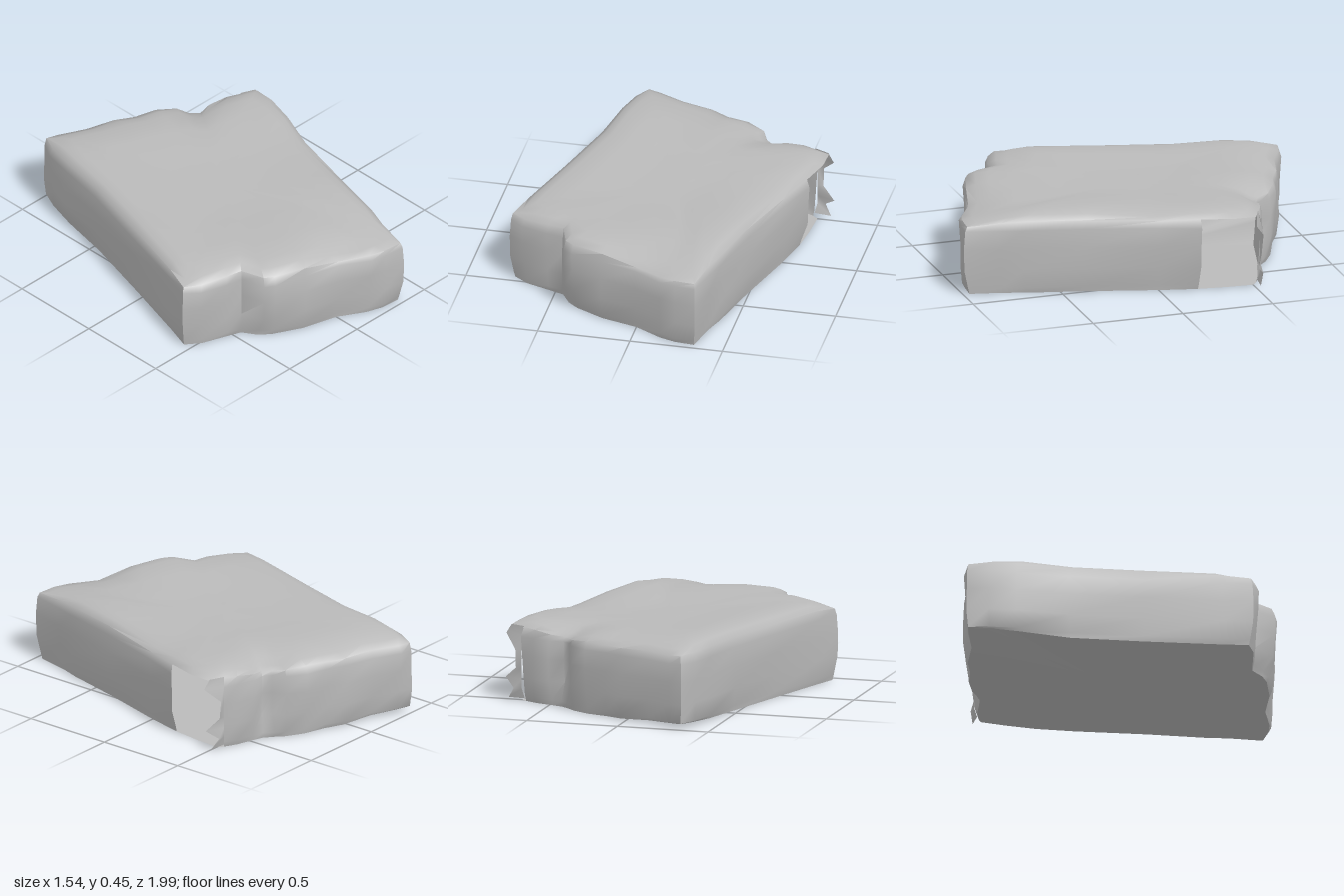
import * as THREE from 'three';
import { toCreasedNormals } from 'three/addons/utils/BufferGeometryUtils.js';

// Plan outline of the slab (x, z), clockwise from above
const outline = [
  [-.35, -1], [-.28, -.98], [-.14, -.91], [.03, -.865], [.13, -.81], [.25, -.77], [.35, -.71],
  [.38, -.64], [.42, -.6], [.5, -.61], [.6, -.58], [.67, -.545], [.755, -.505], [.75, -.385], [.7, -.21],
  [.62, 0], [.51, .38], [.43, .7], [.39, .82], [.35, 1], [.24, .99], [.15, .96], [0, .875],
  [-.2, .82], [-.37, .765], [-.42, .73], [-.46, .6], [-.55, .58], [-.69, .53], [-.77, .47],
  [-.72, .32], [-.6, -.08], [-.49, -.47], [-.44, -.75], [-.4, -.9],
];
// The underside cuts across the notches and the broken corner
const foot = {
  7: [.39, -.67], 8: [.44, -.63], 12: [.7, -.52], 13: [.69, -.37], 14: [.67, -.21],
  24: [-.36, .74], 25: [-.42, .69], 26: [-.47, .61],
};
// Wall columns left open at the broken corner
const OPEN_FROM = 11, OPEN_TO = 13, RIM = 5;

// Wall and top rings: height, scale from the centre
const rings = [
  [0, .965], [.03, .98], [.13, .995], [.25, 1], [.35, 1], [.4, .98], [.425, .92],
  [.437, .84], [.437, .65], [.43, .4], [.425, .15],
];

const bump = (x, z, cx, cz, r) => Math.exp(-((x - cx) ** 2 + (z - cz) ** 2) / (r * r));

// Gentle dents and rises of the top
function topRelief(x, z) {
  return -.055 * bump(x, z, .03, .88, .16) - .03 * bump(x, z, .24, .72, .1)
    - .04 * bump(x, z, .33, 1, .2) - .025 * bump(x, z, .55, .05, .16)
    - .03 * bump(x, z, -.72, .46, .1) - .05 * bump(x, z, .4, -.62, .13)
    - .02 * bump(x, z, -.2, -.98, .18) - .025 * bump(x, z, .12, -.84, .14)
    + .012 * bump(x, z, -.3, -.7, .2) + .01 * bump(x, z, .33, .5, .15)
    - .012 * bump(x, z, .1, .1, .4);
}

function slabGeometry() {
  const pos = [], index = [], n = outline.length;
  rings.forEach(([y, s], r) => outline.forEach((p, i) => {
    const [px, pz] = (r < 2 && foot[i]) || p;
    // Shallow chips along the walls
    const chip = r > 0 && r < RIM ? .007 * Math.sin(i * 1.9 + r * 1.3) - .005 : 0;
    const x = px * (s + chip), z = pz * (s + chip);
    // The underside lifts a little at the rear edge
    const lift = r === 0 ? .025 * bump(px, pz, -.35, -1, .35) : 0;
    const relief = r >= RIM ? topRelief(x, z) * (r === RIM ? .6 : 1) : 0;
    pos.push(x, y + lift + relief, z);
  }));
  for (let r = 0; r < rings.length - 1; r++) {
    for (let i = 0; i < n; i++) {
      if (r < RIM && i >= OPEN_FROM && i <= OPEN_TO) continue;
      const a = r * n + i, b = r * n + (i + 1) % n;
      index.push(b, a, a + n, b, a + n, b + n);
    }
  }
  // Close the top and the underside
  const top = pos.length / 3, last = (rings.length - 1) * n;
  pos.push(0, .423, 0, 0, 0, 0);
  for (let i = 0; i < n; i++) {
    const j = (i + 1) % n;
    index.push(last + j, last + i, top, i, j, top + 1);
  }
  const g = new THREE.BufferGeometry();
  g.setAttribute('position', new THREE.Float32BufferAttribute(pos, 3));
  g.setIndex(index);
  return toCreasedNormals(g, .95);
}

// Rear wall running on to a torn, toothed edge: height, tooth x, tooth z
function tornEdgeGeometry() {
  const rows = [
    [.015, .745, -.52], [.07, .71, -.545], [.12, .767, -.5], [.18, .7, -.54], [.28, .7, -.55],
    [.355, .767, -.49], [.405, .735, -.5],
  ];
  const pos = [], index = [];
  rows.forEach(([y, x, z], r) => {
    const s = r === 0 ? .975 : r === rows.length - 1 ? .98 : .995;
    pos.push(.67 * s, y, -.545 * s, x, y, z);
    if (r) {
      const b = r * 2;
      index.push(b - 1, b - 2, b, b - 1, b, b + 1);
    }
  });
  const g = new THREE.BufferGeometry();
  g.setAttribute('position', new THREE.Float32BufferAttribute(pos, 3));
  g.setIndex(index);
  g.computeVertexNormals();
  return g;
}

export function createModel() {
  const stone = new THREE.MeshStandardMaterial({ color: 0xbababa });
  stone.name = 'stone grey';
  stone.side = THREE.DoubleSide;

  const group = new THREE.Group();
  group.name = 'stoneSlab';
  const add = (name, geometry) => {
    const mesh = new THREE.Mesh(geometry, stone);
    mesh.name = name;
    group.add(mesh);
  };
  add('slab', slabGeometry());
  add('tornEdge', tornEdgeGeometry());
  return group;
}
